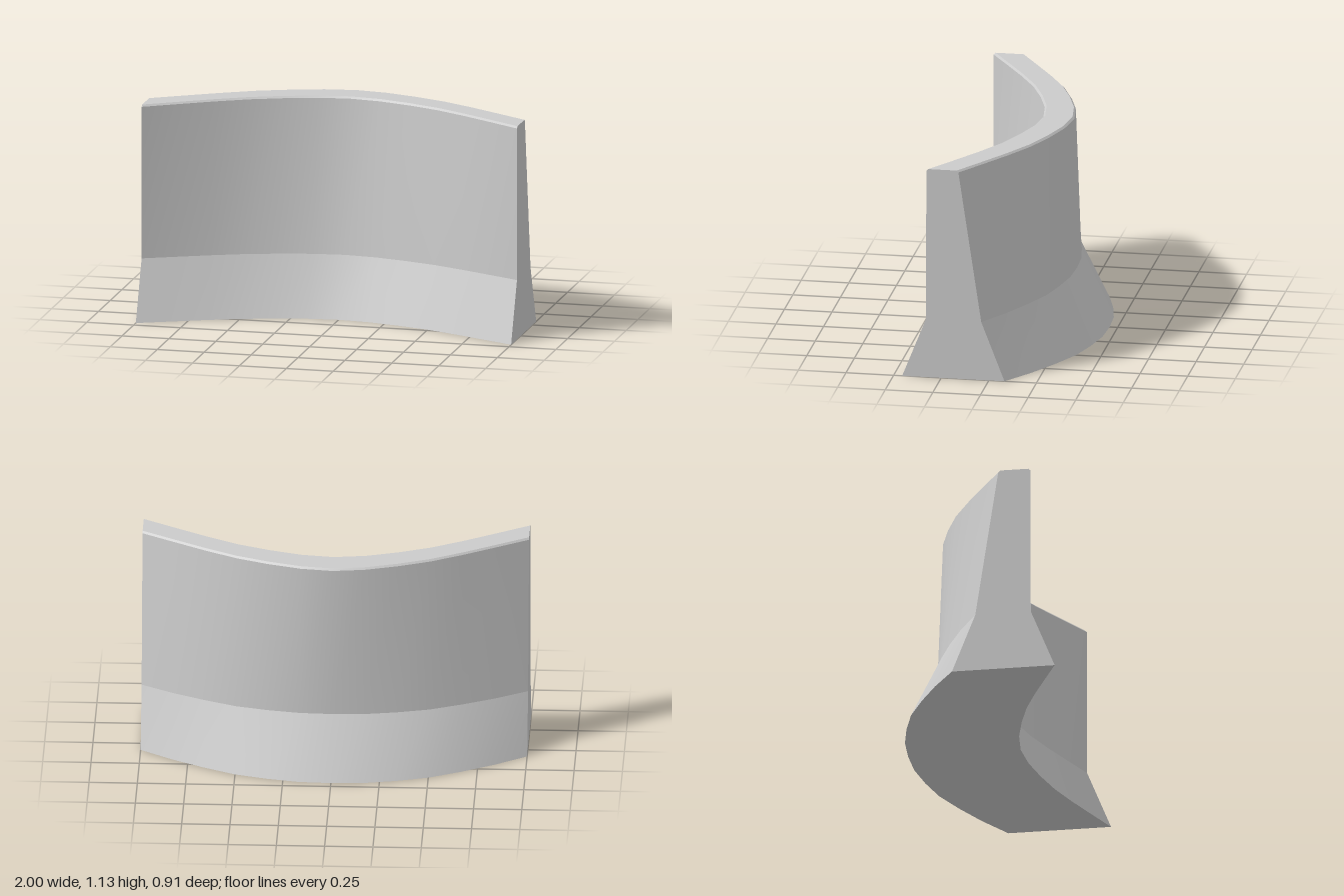
import * as THREE from 'three';

// How each long edge bends from the middle (0) to the ends (1)
const FRONT_BEND = [0, 0.05, 0.167, 0.32, 0.53, 0.763, 1];
const BACK_BEND = [0, 0.02, 0.107, 0.235, 0.45, 0.7, 1];
const HALF = 6;

// Long edges in order up the front and down the back: height, z at middle, z at ends, bend
const EDGES = [
  [0, 0.13, 0.455, FRONT_BEND],
  [0.315, 0, 0.33, FRONT_BEND],
  [1.12, -0.11, 0.328, FRONT_BEND],
  [1.13, -0.12, 0.318, FRONT_BEND],
  [1.13, -0.263, 0.17, FRONT_BEND],
  [1.12, -0.273, 0.16, FRONT_BEND],
  [0.315, -0.288, 0.04, BACK_BEND],
  [0, -0.458, -0.082, BACK_BEND],
];

function edgePoint([y, zMid, zEnd, bend], i) {
  return [i / HALF, y, zMid + (zEnd - zMid) * bend[Math.abs(i)]];
}

function makeMesh(name, positions, index) {
  const geometry = new THREE.BufferGeometry();
  geometry.setAttribute('position', new THREE.Float32BufferAttribute(positions, 3));
  geometry.setIndex(index);
  geometry.computeVertexNormals();
  const mesh = new THREE.Mesh(geometry, new THREE.MeshStandardMaterial({ color: 0xcccccc }));
  mesh.name = name;
  return mesh;
}

// Band between two long edges, smooth along its length
function strip(name, a, b) {
  const positions = [], index = [];
  for (let i = -HALF; i <= HALF; i++) {
    positions.push(...edgePoint(a, i), ...edgePoint(b, i));
    if (i < HALF) {
      const k = (i + HALF) * 2;
      index.push(k, k + 2, k + 3, k, k + 3, k + 1);
    }
  }
  return makeMesh(name, positions, index);
}

// Flat end, filled by quads between matching front and back edges
function endCap(name, side) {
  const positions = EDGES.flatMap((e) => edgePoint(e, side * HALF));
  const index = [];
  for (let i = 0; i < 3; i++) {
    const [a, b, c, d] = [i, i + 1, 6 - i, 7 - i];
    index.push(...(side < 0 ? [a, b, c, a, c, d] : [a, c, b, a, d, c]));
  }
  return makeMesh(name, positions, index);
}

export function createModel() {
  const barrier = new THREE.Group();
  barrier.name = 'curvedBarrier';
  const names = ['frontFoot', 'frontWall', 'frontTopBevel', 'top',
    'backTopBevel', 'backWall', 'backFoot', 'underside'];
  names.forEach((name, i) => {
    barrier.add(strip(name, EDGES[i], EDGES[(i + 1) % EDGES.length]));
  });
  barrier.add(endCap('leftEnd', 1), endCap('rightEnd', -1));
  return barrier;
}
